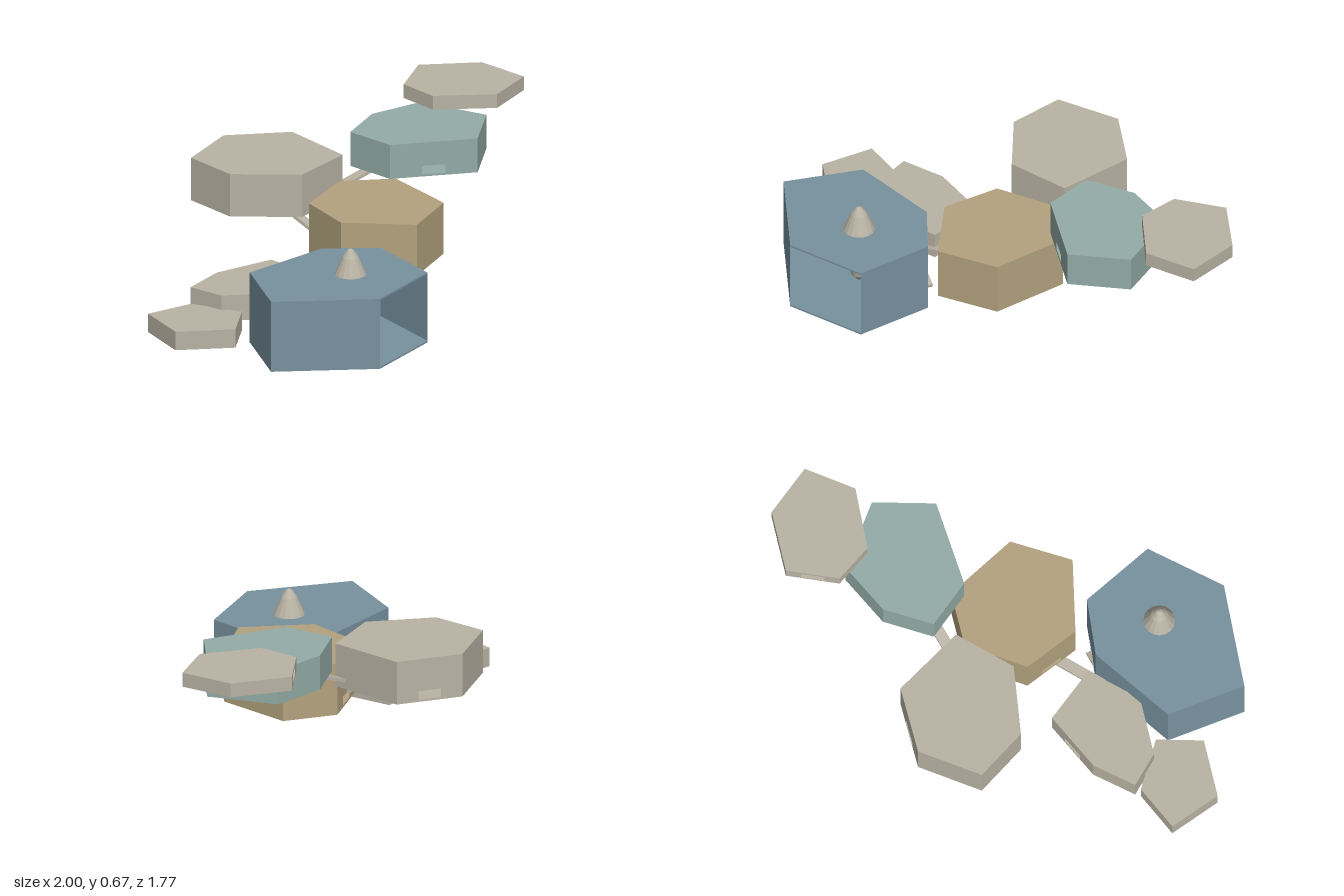
import * as THREE from 'three';

const mat = (name, color) => {
  const m = new THREE.MeshStandardMaterial({ color, side: THREE.DoubleSide, flatShading: true });
  m.name = name;
  return m;
};

// Corners are [x, z]; doors and open list wall numbers (wall i runs from corner i to i + 1).
const CHAMBERS = [
  { name: 'mainChamber', color: 'blue', y: [0, 0.33], doors: [0, 1], open: 3,
    corners: [[-0.585, 0.415], [-0.2, 0.24], [0.05, 0.31], [0.158, 0.65], [-0.135, 0.885], [-0.6, 0.775]] },
  { name: 'tanChamber', color: 'tan', y: [0.18, 0.42], doors: [4, 5],
    corners: [[0.045, -0.28], [0.29, -0.235], [0.405, 0.1], [0.215, 0.315], [-0.095, 0.19], [-0.16, 0.07 - 0.14]] },
  { name: 'backChamber', color: 'pale', y: [0.33, 0.53], doors: [0],
    corners: [[-0.36, -0.685], [-0.06, -0.635], [0.07, -0.31], [-0.17, -0.14], [-0.47, -0.24], [-0.575, -0.475]] },
  { name: 'tealChamber', color: 'teal', y: [0.44, 0.6], doors: [4],
    corners: [[0.13, -0.39], [0.285, -0.565], [0.53, -0.635], [0.76, -0.405], [0.64, -0.15], [0.25, -0.19]] },
  { name: 'topChamber', color: 'pale', y: [0.605, 0.67], doors: [5],
    corners: [[0.6, -0.89], [0.875, -0.835], [1, -0.62], [0.825, -0.455], [0.55, -0.52], [0.47, -0.69]] },
  { name: 'sideChamber', color: 'pale', y: [0.07, 0.19], doors: [1],
    corners: [[-0.78, 0.17], [-0.62, 0.04], [-0.345, -0.035], [-0.21, 0.2], [-0.42, 0.355], [-0.68, 0.305]] },
  { name: 'lowChamber', color: 'pale', y: [0.035, 0.122], doors: [],
    corners: [[-1, 0.25], [-0.785, 0.195], [-0.6, 0.35], [-0.69, 0.54], [-0.95, 0.49]] },
];

// Ramp end points
const RAMPS = [
  [[-0.31, 0.09, 0.28], [0, 0.18, 0.03]],
  [[-0.31, 0.08, 0.285], [-0.075, 0.02, 0.275]],
  [[-0.04, 0.2, -0.12], [-0.2, 0.33, -0.28]],
  [[0, 0.35, -0.33], [0.25, 0.44, -0.37]],
  [[0.63, 0.56, -0.56], [0.66, 0.6, -0.66]],
  [[-0.7, 0.075, 0.22], [-0.78, 0.05, 0.28]],
];

const SLAB = 0.008;

function slab(corners, y) {
  const shape = new THREE.Shape(corners.map(([x, z]) => new THREE.Vector2(x, -z)));
  const g = new THREE.ExtrudeGeometry(shape, { depth: SLAB, bevelEnabled: false });
  return g.rotateX(-Math.PI / 2).translate(0, y, 0);
}

function wall([x0, z0], [x1, z1], y, h, door) {
  const len = Math.hypot(x1 - x0, z1 - z0);
  const s = new THREE.Shape([[0, 0], [len, 0], [len, h], [0, h]].map(p => new THREE.Vector2(...p)));
  if (door) {
    const a = len / 2 - 0.052, b = len / 2 + 0.052;
    s.holes.push(new THREE.Path([[a, 0.002], [a, 0.042], [b, 0.042], [b, 0.002]].map(p => new THREE.Vector2(...p))));
  }
  const g = new THREE.ShapeGeometry(s);
  return g.rotateY(Math.atan2(z0 - z1, x1 - x0)).translate(x0, y, z0);
}

export function createModel() {
  const model = new THREE.Group();
  const mats = {
    blue: mat('slateBlue', 0x78929f),
    tan: mat('tan', 0xb3a27e),
    teal: mat('paleTeal', 0x93aca7),
    pale: mat('paleStone', 0xb9b3a4),
  };
  const add = (parent, name, geo, m) => {
    const mesh = new THREE.Mesh(geo, m);
    mesh.name = name;
    parent.add(mesh);
    return mesh;
  };

  // Chambers: floor, roof and a ring of thin walls with doorways
  for (const c of CHAMBERS) {
    const room = new THREE.Group();
    room.name = c.name;
    model.add(room);
    const m = mats[c.color], [y0, y1] = c.y;
    add(room, 'floor', slab(c.corners, y0), m);
    add(room, 'roof', slab(c.corners, y1 - SLAB), m);
    c.corners.forEach((p, i) => {
      if (i === c.open) return;
      const q = c.corners[(i + 1) % c.corners.length];
      add(room, 'wall', wall(p, q, y0 + SLAB, y1 - y0 - 2 * SLAB, c.doors.includes(i)), m);
    });
  }

  // Ramps between chambers
  for (const [a, b] of RAMPS) {
    const from = new THREE.Vector3(...a), to = new THREE.Vector3(...b);
    const ramp = add(model, 'ramp', new THREE.BoxGeometry(0.05, 0.014, from.distanceTo(to)), mats.pale);
    ramp.position.copy(from).lerp(to, 0.5);
    ramp.lookAt(to);
  }

  // Spindle hanging through the main chamber roof
  const profile = [[0, 0.05], [0.034, 0.09], [0.05, 0.15], [0.066, 0.23], [0.07, 0.33], [0.036, 0.41], [0.015, 0.44], [0, 0.45]];
  const spindle = add(model, 'spindle',
    new THREE.LatheGeometry(profile.map(p => new THREE.Vector2(...p)), 16), mats.pale);
  spindle.position.set(-0.168, 0, 0.56);
  return model;
}
